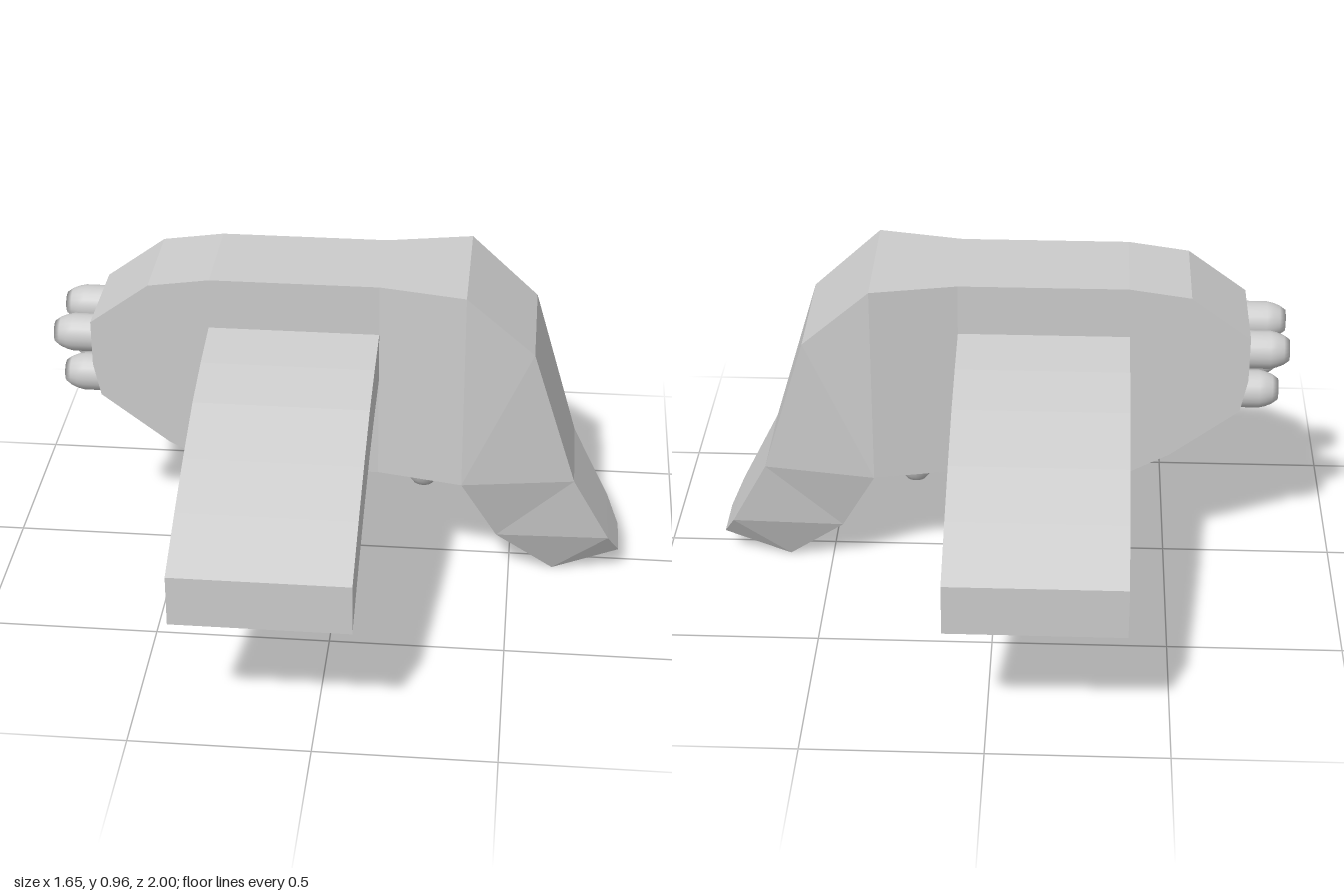
import * as THREE from 'three';

const flatMat = new THREE.MeshStandardMaterial({ color: 0xcccccc, flatShading: true });
const smoothMat = new THREE.MeshStandardMaterial({ color: 0xcccccc, side: THREE.DoubleSide });

// Hull stations: [top x, top y, top half width, bottom x, bottom y, bottom half width]
const STATIONS = [
  [-0.715, 0.815, 0.15, -0.715, 0.68, 0.15],
  [-0.715, 0.815, 0.15, -0.695, 0.58, 0.15],
  [-0.545, 0.94, 0.15, -0.5, 0.43, 0.15],
  [-0.37, 0.965, 0.15, -0.37, 0.36, 0.15],
  [0.11, 0.965, 0.15, 0.11, 0.36, 0.15],
  [0.355, 0.965, 0.2, 0.355, 0.36, 0.2],
  [0.55, 0.79, 0.185, 0.355, 0.36, 0.2],
  [0.68, 0.36, 0.15, 0.355, 0.36, 0.2],
  [0.79, 0.15, 0.12, 0.46, 0.15, 0.13],
  [0.825, 0.08, 0.07, 0.63, 0, 0.065],
];

// Four-cornered loft through the stations, closed at both ends
function hullGeometry() {
  const loops = STATIONS.map(([tx, ty, tw, bx, by, bw]) => [
    [tx, ty, tw], [bx, by, bw], [bx, by, -bw], [tx, ty, -tw],
  ]);
  const pos = [];
  const same = (p, q) => p.every((v, i) => v === q[i]);
  const tri = (a, b, c) => {
    if (!same(a, b) && !same(b, c) && !same(a, c)) pos.push(...a, ...b, ...c);
  };
  const quad = (a, b, c, d) => { tri(a, b, c); tri(a, c, d); };
  for (let i = 0; i < loops.length - 1; i++) {
    const s = loops[i], t = loops[i + 1];
    for (let k = 0; k < 4; k++) {
      const n = (k + 1) % 4;
      // the far side uses the other diagonal so both sides mirror
      if (k === 2) quad(s[n], t[n], t[k], s[k]);
      else quad(s[k], s[n], t[n], t[k]);
    }
  }
  const first = loops[0], last = loops[loops.length - 1];
  quad(first[0], first[3], first[2], first[1]);
  quad(...last);
  const geo = new THREE.BufferGeometry();
  geo.setAttribute('position', new THREE.Float32BufferAttribute(pos, 3));
  geo.computeVertexNormals();
  return geo;
}

// Curved slab wing, profile in z-y swept along x
function wingGeometry(side) {
  const top = [[0.13, 0.818], [0.31, 0.79], [0.47, 0.755], [0.655, 0.69], [0.82, 0.622], [1, 0.54]];
  const bottom = top.map(([z, y]) => [z, y - 0.147]).reverse();
  const shape = new THREE.Shape([...top, ...bottom].map(([z, y]) => new THREE.Vector2(side * z, y)));
  const geo = new THREE.ExtrudeGeometry(shape, { depth: 0.485, bevelEnabled: false });
  return geo.rotateY(-Math.PI / 2).translate(0.11, 0, 0);
}

// Rounded nozzle along +y with a conical recess in its tip
function nozzleGeometry(straight) {
  const profile = [
    [0.055, -0.03], [0.055, straight], [0.051, straight + 0.018],
    [0.043, straight + 0.038], [0.031, straight + 0.055], [0, straight + 0.025],
  ];
  return new THREE.LatheGeometry(profile.map(([r, y]) => new THREE.Vector2(r, y)), 20);
}

export function createModel() {
  const model = new THREE.Group();
  const add = (name, geo, mat, x = 0, y = 0, z = 0, rz = 0) => {
    const mesh = new THREE.Mesh(geo, mat);
    mesh.name = name;
    mesh.position.set(x, y, z);
    mesh.rotation.z = rz;
    model.add(mesh);
  };

  add('hull', hullGeometry(), flatMat);
  add('frontWing', wingGeometry(1), flatMat);
  add('backWing', wingGeometry(-1), flatMat);

  const engine = nozzleGeometry(0.06);
  const thruster = nozzleGeometry(0);
  for (const z of [-0.09, 0.09]) {
    // Tail engines, the lower pair set slightly forward
    add('upperEngine', engine, smoothMat, -0.715, 0.75, z, Math.PI / 2);
    add('lowerEngine', engine, smoothMat, -0.69, 0.622, z, Math.PI / 2);
    // Belly thrusters
    for (const x of [-0.31, -0.035, 0.24]) add('bellyThruster', thruster, smoothMat, x, 0.36, z, Math.PI);
  }
  return model;
}
